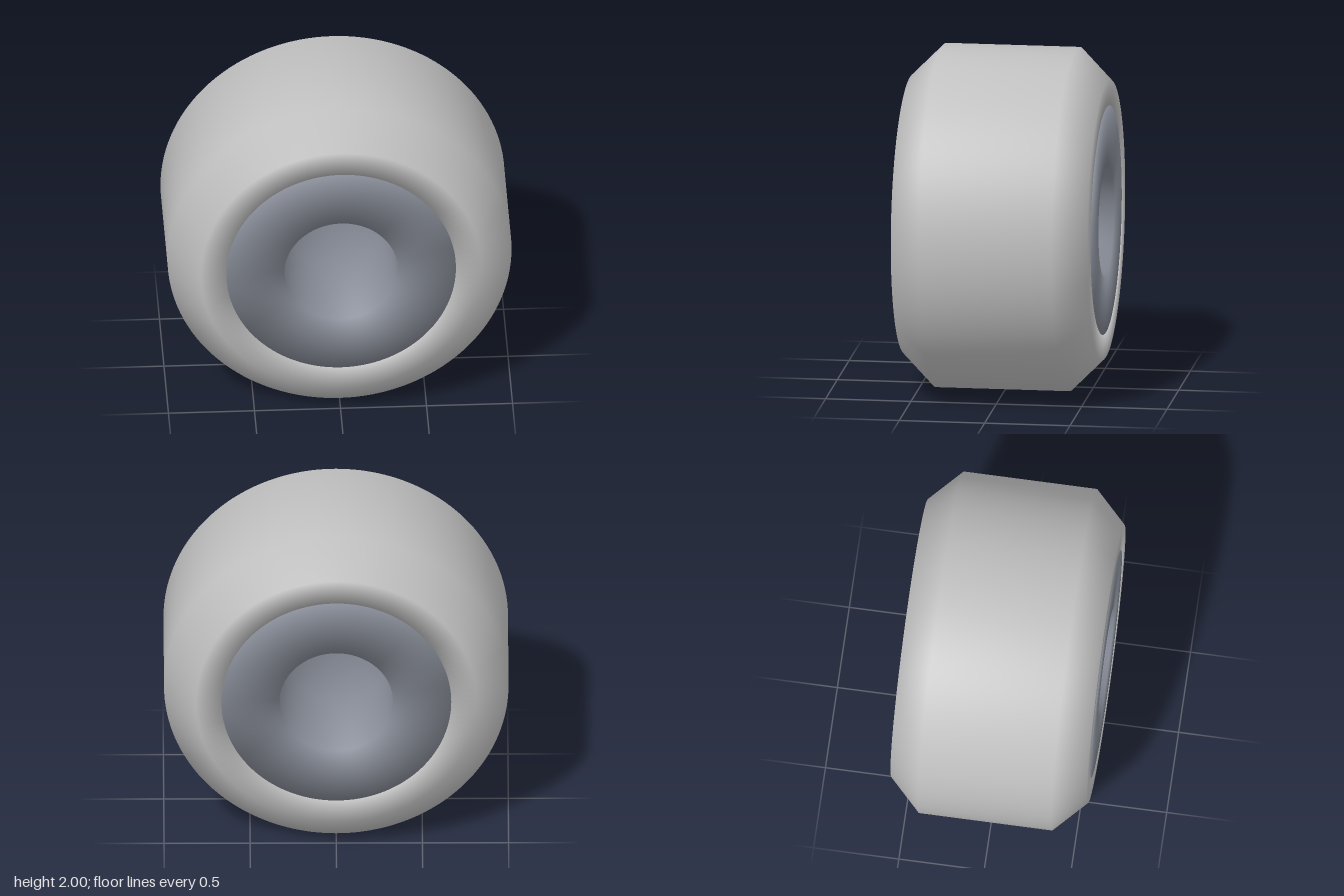
import * as THREE from 'three';

// Closed ring spun around z. The profile starts and ends mid-way along the bore,
// so every corner gets a smooth averaged normal.
function ring(name, halfProfile, material) {
  const bore = halfProfile[0][0];
  const points = [[bore, 0]];
  for (const [r, z] of halfProfile) points.push([r, -z]);
  for (const [r, z] of [...halfProfile].reverse()) points.push([r, z]);
  points.push([bore, 0]);
  const geometry = new THREE.LatheGeometry(points.map(([r, z]) => new THREE.Vector2(r, z)), 128);
  geometry.rotateX(Math.PI / 2);
  const mesh = new THREE.Mesh(geometry, material);
  mesh.name = name;
  mesh.position.y = 1;
  return mesh;
}

export function createModel() {
  const tyreGrey = new THREE.MeshStandardMaterial({ color: 0xc0c0c1 });
  tyreGrey.name = 'light grey';
  const hubGrey = new THREE.MeshStandardMaterial({ color: 0x868b96 });
  hubGrey.name = 'blue grey';

  const model = new THREE.Group();
  model.name = 'wheel';

  // Tyre: wide tread with a chamfer on both shoulders
  model.add(ring('tyre', [[0.667, 0.575], [0.815, 0.575], [1, 0.39]], tyreGrey));

  // Hub: thick sleeve flush with the sidewalls, open through the middle
  model.add(ring('hub', [[0.33, 0.575], [0.667, 0.575]], hubGrey));

  return model;
}
